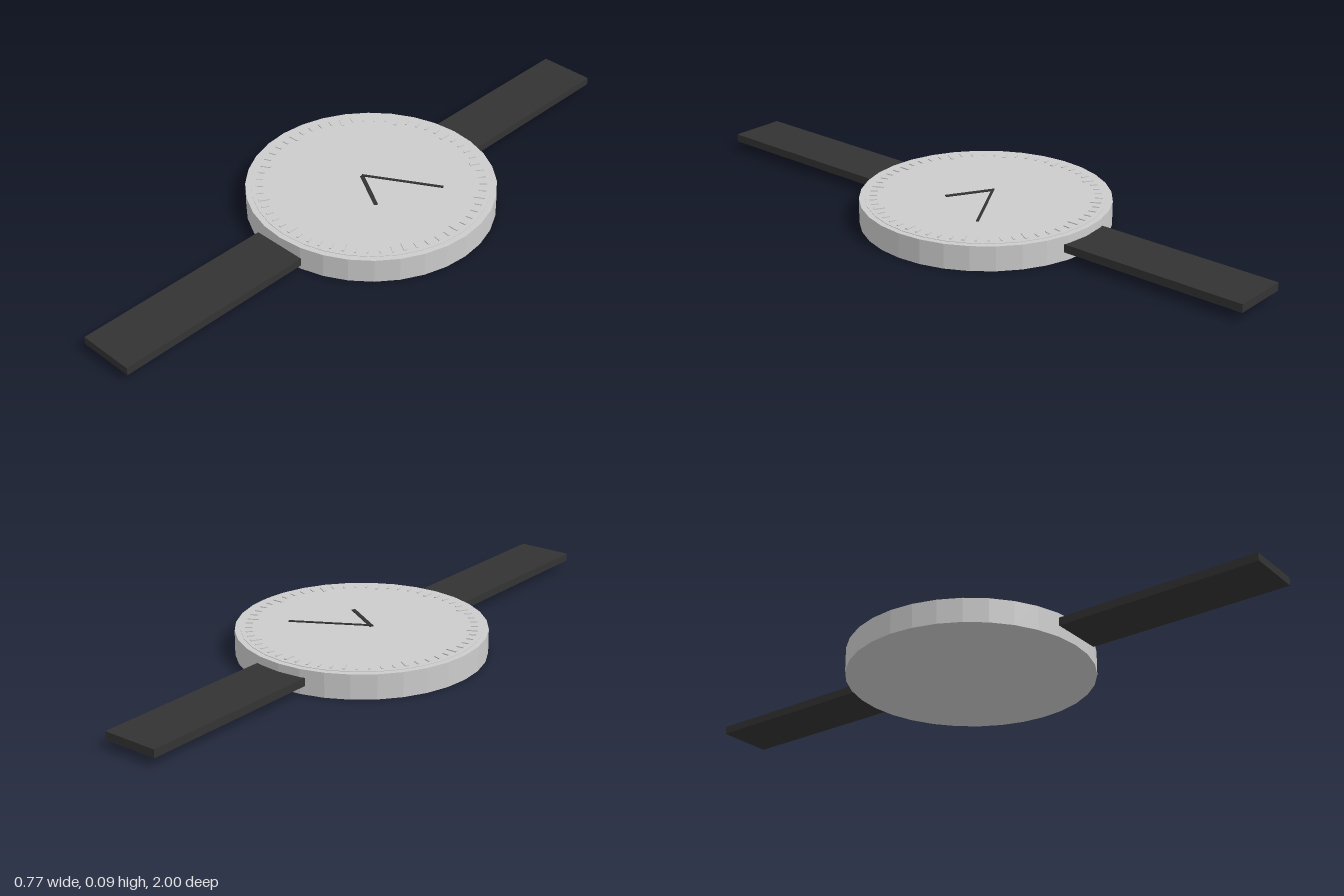
import * as THREE from 'three';

export function createModel() {
  const model = new THREE.Group();
  const grey = new THREE.MeshStandardMaterial({ color: 0xcccccc, flatShading: true });
  const dark = new THREE.MeshStandardMaterial({ color: 0x333333, flatShading: true });

  function add(parent, name, geometry, material, x, y, z) {
    const mesh = new THREE.Mesh(geometry, material);
    mesh.name = name;
    mesh.position.set(x, y, z);
    parent.add(mesh);
    return mesh;
  }

  // Watch head, set slightly towards the back
  const head = new THREE.Group();
  head.name = 'head';
  head.position.z = -0.033;
  model.add(head);
  add(head, 'case', new THREE.CylinderGeometry(0.384, 0.384, 0.077, 32), grey, 0, 0.0385, 0);
  add(head, 'dial', new THREE.CylinderGeometry(0.366, 0.366, 0.002, 32), grey, 0, 0.0775, 0);

  // Sixty raised marks, longer at the hours
  const ticks = new THREE.Group();
  ticks.name = 'dialMarks';
  head.add(ticks);
  for (let i = 0; i < 60; i++) {
    const hour = i % 5 === 0;
    const length = hour ? 0.034 : 0.022;
    const a = (i / 60) * Math.PI * 2;
    const r = 0.352 - length / 2;
    const tick = add(ticks, hour ? 'hourMark' : 'minuteMark',
      new THREE.BoxGeometry(hour ? 0.01 : 0.006, 0.005, length), grey,
      Math.sin(a) * r, 0.079, Math.cos(a) * r);
    tick.rotation.y = a;
  }

  // Hands meeting at a shared pivot left of the dial's middle
  function addHand(name, length, width, height, y, angle) {
    const geometry = new THREE.BoxGeometry(length, height, width);
    geometry.translate(length / 2, 0, 0);
    add(head, name, geometry, dark, -0.037, y, 0.002).rotation.y = angle;
  }
  addHand('minuteHand', 0.254, 0.008, 0.003, 0.0855, Math.PI / 6);
  addHand('hourHand', 0.152, 0.012, 0.003, 0.0825, -Math.PI / 6);

  // Front and back straps
  for (const side of [1, -1]) {
    add(model, side > 0 ? 'frontStrap' : 'backStrap',
      new THREE.BoxGeometry(0.18, 0.025, 0.645), dark, 0, 0.0395, side * 0.6775);
  }
  return model;
}
